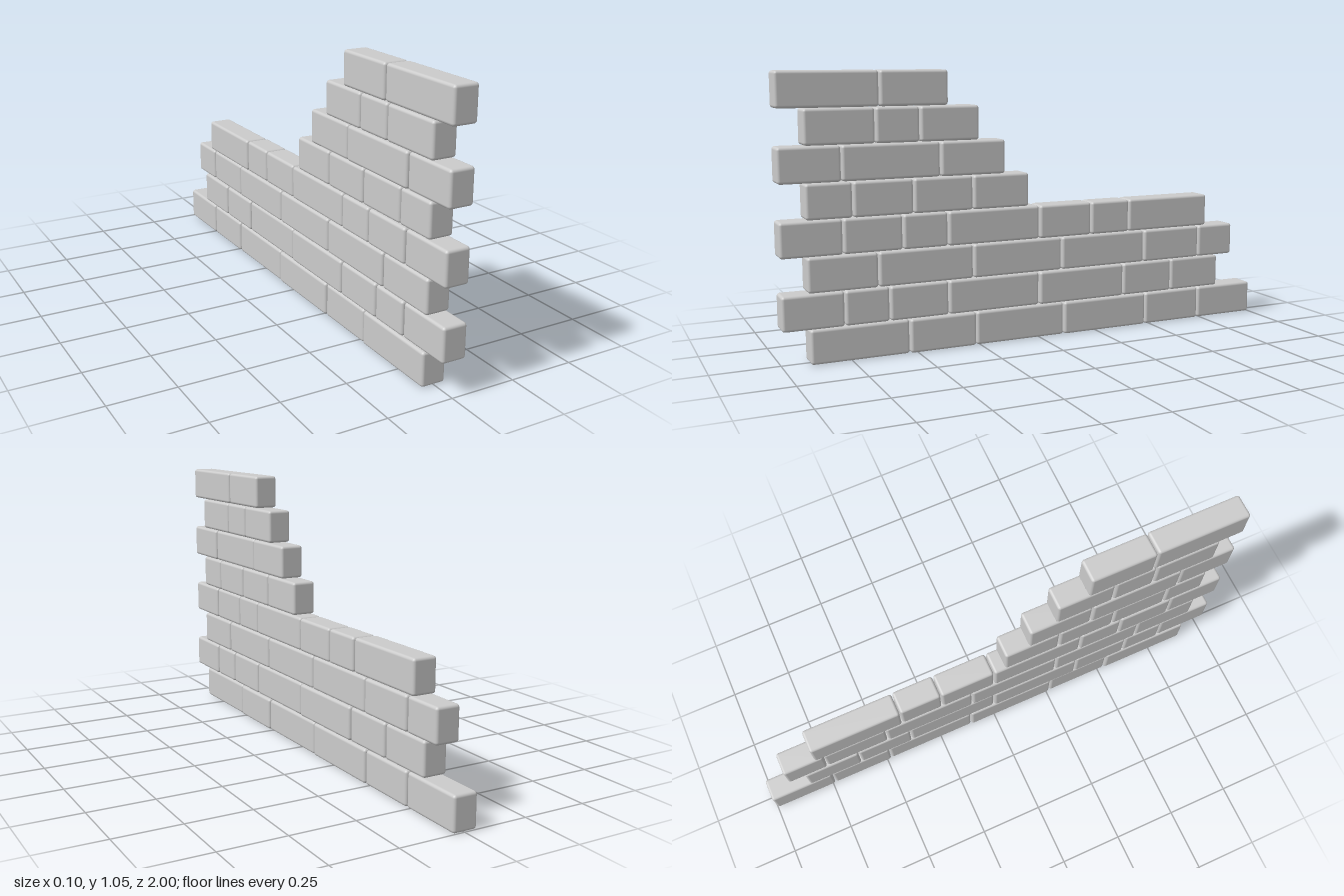
import * as THREE from 'three';
import { RoundedBoxGeometry } from 'three/addons/geometries/RoundedBoxGeometry.js';

const PITCH = 0.131;   // course spacing
const DEPTH = 0.094;   // wall thickness
const GAP = 0.004;     // dry joint between bricks
const BEVEL = 0.011;

// Joint positions along z for every course, bottom to top
const COURSES = [
  [0.9, 0.53, 0.265, -0.107, -0.48, -0.737, -1],
  [1, 0.773, 0.605, 0.375, 0, -0.375, -0.602, -0.832],
  [0.905, 0.645, 0.275, -0.097, -0.47, -0.733, -0.9],
  [1, 0.773, 0.55, 0.375, 0, -0.225, -0.397, -0.768],
  [0.905, 0.735, 0.508, 0.275, 0.047],
  [1, 0.773, 0.402, 0.145],
  [0.905, 0.647, 0.48, 0.25],
  [1, 0.63, 0.37],
];

// Small seeded generator for the hand-laid unevenness
function seeded(seed) {
  return () => {
    seed = (seed * 16807) % 2147483647;
    return seed / 2147483647 - 0.5;
  };
}

export function createModel() {
  const wall = new THREE.Group();
  wall.name = 'brickWall';
  const material = new THREE.MeshStandardMaterial({ color: 0xcccccc });
  const jitter = seeded(4271);

  COURSES.forEach((joints, row) => {
    const course = new THREE.Group();
    course.name = `course${row + 1}`;
    course.position.y = (row + 0.5) * PITCH + 0.001;

    // One rounded brick between each pair of neighbouring joints
    for (let i = 0; i < joints.length - 1; i++) {
      const length = joints[i] - joints[i + 1];
      const first = i === 0 ? 0 : GAP / 2;
      const last = i === joints.length - 2 ? 0 : GAP / 2;
      const brick = new THREE.Mesh(
        new RoundedBoxGeometry(DEPTH, PITCH - 0.002, length - first - last, 2, BEVEL),
        material
      );
      brick.name = `brick${i + 1}`;
      brick.position.set(
        jitter() * 0.005 - 0.001,
        0,
        (joints[i] - first + joints[i + 1] + last) / 2
      );
      course.add(brick);
    }
    wall.add(course);
  });
  return wall;
}
